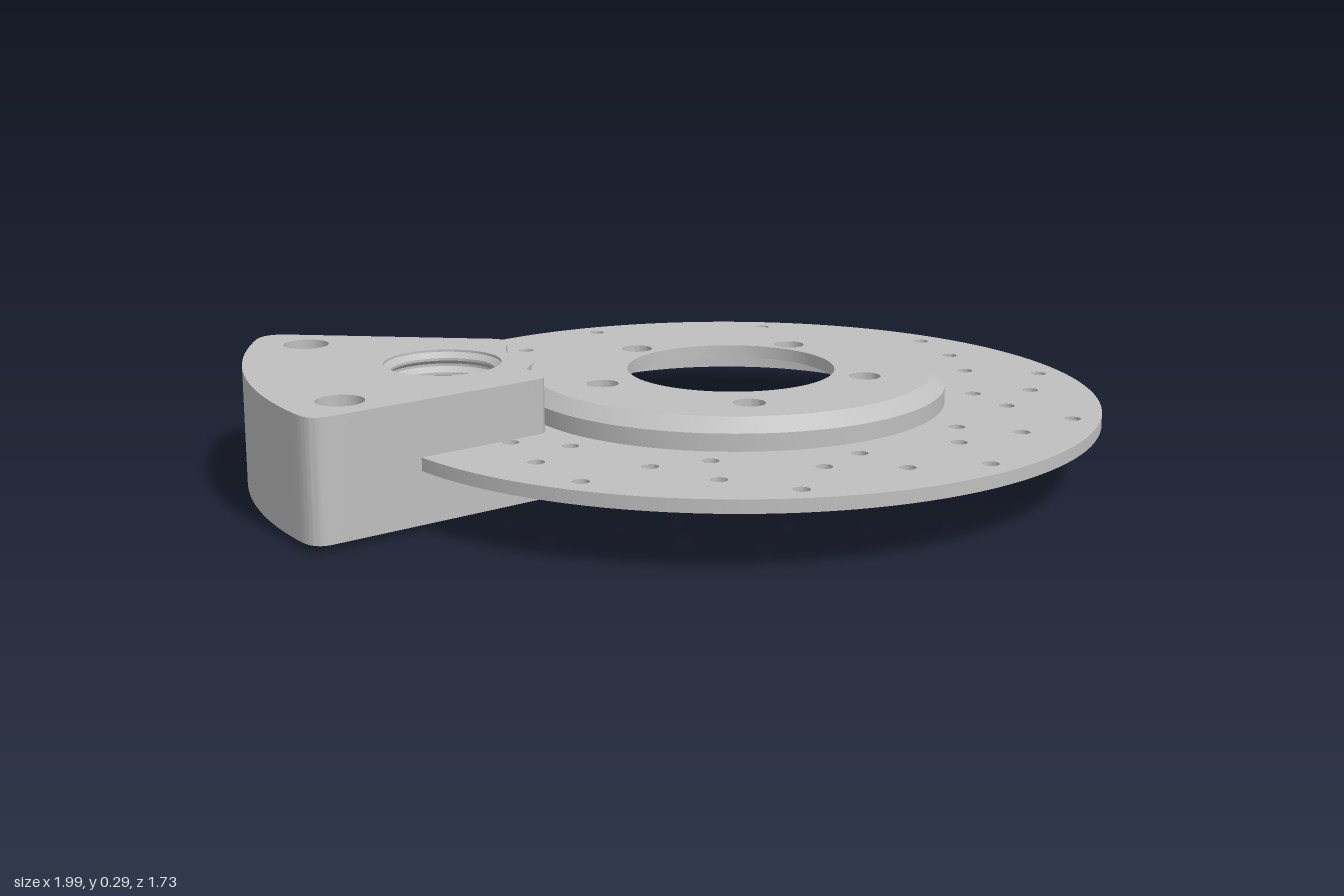
import * as THREE from 'three';
import { toCreasedNormals } from 'three/addons/utils/BufferGeometryUtils.js';

const CX = 0.13; // axis of the disc

// Points of a circle given in plan (x, z); shapes use -z as their second axis
function circle(x, z, r, n) {
  const pts = [];
  for (let i = 0; i < n; i++) {
    const a = (i / n) * Math.PI * 2;
    pts.push(new THREE.Vector2(x + r * Math.cos(a), -z + r * Math.sin(a)));
  }
  return pts;
}

// Raise a plan shape between two heights
function slab(shape, y0, y1) {
  const g = new THREE.ExtrudeGeometry(shape, { depth: y1 - y0, bevelEnabled: false, curveSegments: 16 });
  g.rotateX(-Math.PI / 2).translate(0, y0, 0);
  return toCreasedNormals(g, 0.5);
}

function turned(profile, x, z, n) {
  const g = new THREE.LatheGeometry(profile.map(p => new THREE.Vector2(...p)), n);
  g.translate(x, 0, z);
  return toCreasedNormals(g, 0.35);
}

export function createModel() {
  const group = new THREE.Group();
  const steel = new THREE.MeshStandardMaterial({ color: 0xbfbfbf });
  steel.name = 'steel';
  const add = (name, geometry) => {
    const mesh = new THREE.Mesh(geometry, steel);
    mesh.name = name;
    group.add(mesh);
  };
  const hole = pts => new THREE.Path(pts);

  // Friction disc, drilled in eleven repeats of four holes
  const disc = new THREE.Shape(circle(CX, 0, 0.865, 128));
  disc.holes.push(hole(circle(CX, 0, 0.445, 96)));
  const drill = [[0.802, -85.7], [0.722, -73.5], [0.647, -60.3], [0.578, -71.2]];
  for (let i = 0; i < 11; i++) {
    for (const [r, deg] of drill) {
      const a = THREE.MathUtils.degToRad(deg + i * 360 / 11);
      disc.holes.push(hole(circle(CX + r * Math.cos(a), r * Math.sin(a), 0.019, 16)));
    }
  }
  add('frictionDisc', slab(disc, 0.135, 0.165));

  // Raised hub: wall, hollow underside, and plate with five bolt holes
  add('hubWall', turned([[0.503, 0.165], [0.503, 0.205], [0.47, 0.235]], CX, 0, 96));
  add('hubRecess', turned([[0.445, 0.205], [0.445, 0.135]], CX, 0, 96));
  const plate = new THREE.Shape(circle(CX, 0, 0.47, 96));
  plate.holes.push(hole(circle(CX, 0, 0.244, 72)));
  for (let i = 0; i < 5; i++) {
    const a = THREE.MathUtils.degToRad(184.6 + i * 72);
    plate.holes.push(hole(circle(0.111 + 0.321 * Math.cos(a), 0.021 + 0.321 * Math.sin(a), 0.037, 32)));
  }
  add('hubPlate', slab(plate, 0.205, 0.235));

  // Caliper: a rounded sector block around the disc axis
  const rad = THREE.MathUtils.degToRad;
  const body = new THREE.Shape();
  body.absarc(CX, 0, 1.13, rad(147.4), rad(186.6), false);
  body.quadraticCurveTo(-0.985, -0.192, -0.935, -0.18);
  body.lineTo(-0.42, -0.095);
  body.quadraticCurveTo(-0.395, -0.09, -0.395, -0.06);
  body.absarc(CX, 0, 0.528, rad(186.5), rad(149.2), true);
  body.quadraticCurveTo(-0.295, 0.32, -0.34, 0.345);
  body.lineTo(-0.735, 0.625);
  body.quadraticCurveTo(-0.785, 0.66, -0.822, 0.609);
  const px = -0.535, pz = -0.165; // piston bore
  body.holes.push(hole(circle(px, pz, 0.134, 48)));
  body.holes.push(hole(circle(-0.737, -0.5, 0.053, 32)));
  body.holes.push(hole(circle(-0.87, 0.063, 0.053, 32)));
  add('caliperBody', slab(body, 0.015, 0.29));

  // Ridged thread lining the upper bore
  const ridges = [];
  for (let y = 0.285; y > 0.165; y -= 0.034) {
    ridges.push([0.133, y], [0.119, y - 0.012], [0.119, y - 0.018], [0.133, y - 0.028]);
  }
  add('boreThread', turned(ridges, px, pz, 48));

  // Plug below the disc with a splined socket
  const plug = new THREE.Shape(circle(px, pz, 0.121, 48));
  const spline = [];
  for (let i = 0; i < 12; i++) {
    [[0, 0.085], [0.5, 0.085], [0.5, 0.072], [1, 0.072]].forEach(([t, r]) => {
      const a = ((i + t * 0.98) / 12) * Math.PI * 2;
      spline.push(new THREE.Vector2(px + r * Math.cos(a), -pz + r * Math.sin(a)));
    });
  }
  plug.holes.push(hole(spline));
  add('borePlug', slab(plug, 0, 0.135));

  return group;
}
